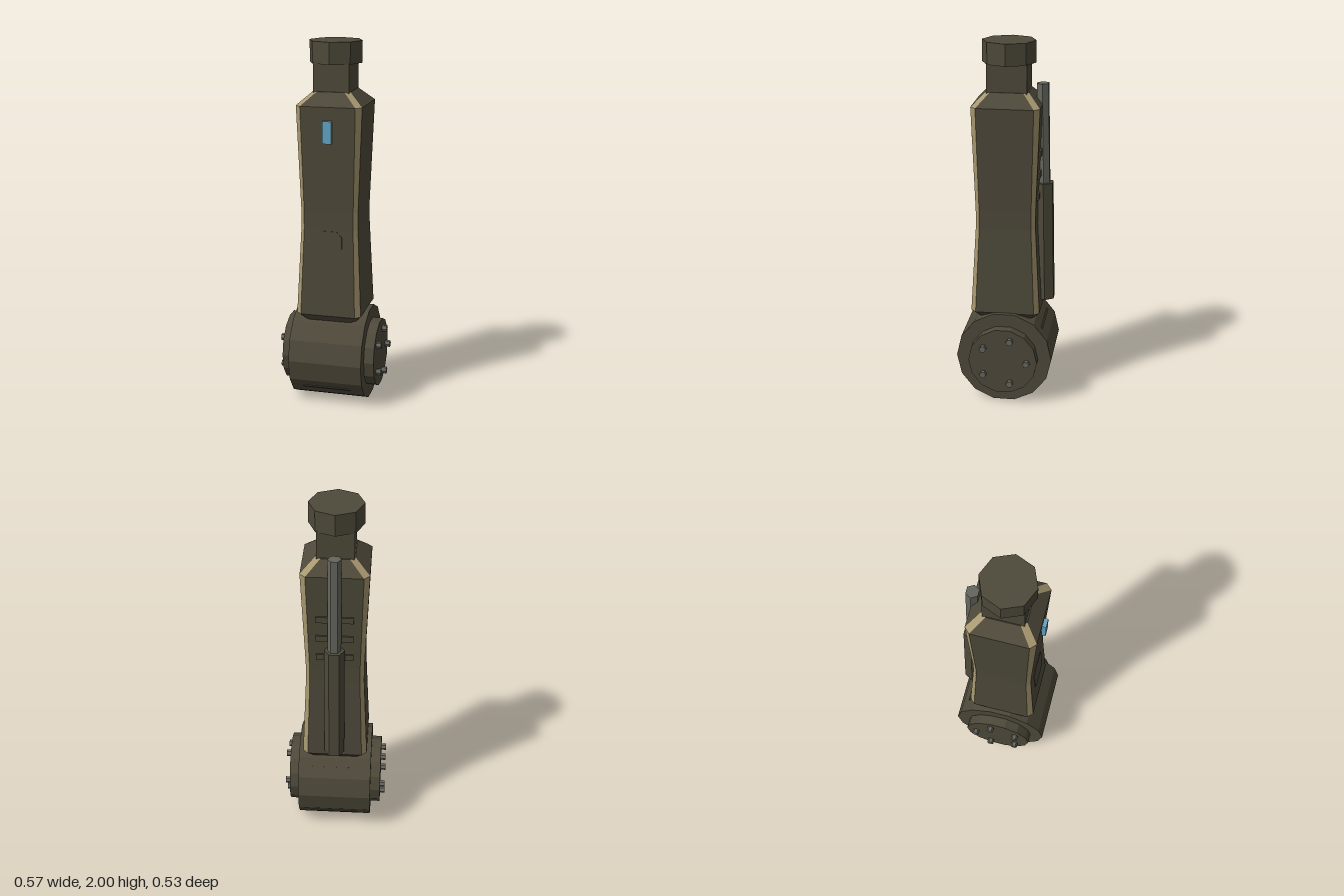
import * as THREE from 'three';

const mat = (name, color) => {
  const m = new THREE.MeshStandardMaterial({ color, flatShading: true });
  m.name = name;
  return m;
};

export function createModel() {
  const root = new THREE.Group();
  root.name = 'mechanicalLimb';
  const olive = mat('dark olive', 0x4e493a);
  const tan = mat('tan trim', 0xa89870);
  const grey = mat('steel grey', 0x66665f);
  const blue = mat('light blue', 0x64a6c6);

  const add = (name, geo, material, x = 0, y = 0, z = 0) => {
    const m = new THREE.Mesh(geo, material);
    m.name = name;
    m.position.set(x, y, z);
    root.add(m);
    return m;
  };
  const box = (name, w, h, d, material, x, y, z) =>
    add(name, new THREE.BoxGeometry(w, h, d), material, x, y, z);
  const axle = (r, len, sides) => new THREE.CylinderGeometry(r, r, len, sides).rotateZ(Math.PI / 2);

  // Joint drum with end caps and bolts
  const cy = 0.26, R = 0.265;
  add('jointDrum', axle(R, 0.41, 14), olive, 0, cy, 0);
  for (const s of [-1, 1]) {
    add('drumCap', axle(0.191, 0.056, 14), olive, s * 0.232, cy, 0);
    for (let i = 0; i < 5; i++) {
      const a = (i * 2 * Math.PI) / 5;
      add('capBolt', axle(0.019, 0.04, 6), grey, s * 0.267, cy + Math.sin(a) * 0.133, -Math.cos(a) * 0.133);
    }
  }

  // Thin ribs lying on three drum facets
  const facet = (2 * Math.PI) / 14;
  for (const k of [-2, -5, 5]) {
    const a = k * facet, r = R * Math.cos(facet / 2) + 0.001;
    const rib = box('drumRib', 0.27, 0.008, 0.012, olive, 0, cy + Math.cos(a) * r, Math.sin(a) * r);
    rib.rotation.x = a;
  }

  // Waisted body: chamfered square sections [y, half width, half depth, chamfer]
  const sections = [
    [0.475, 0.145, 0.155, 0.026],
    [0.515, 0.18, 0.19, 0.028],
    [1.0, 0.158, 0.163, 0.022],
    [1.1, 0.158, 0.163, 0.022],
    [1.667, 0.18, 0.184, 0.03],
    [1.737, 0.102, 0.115, 0.026],
  ];
  const rings = sections.map(([y, w, d, c]) => [
    [w, -d + c], [w, d - c], [w - c, d], [-w + c, d],
    [-w, d - c], [-w, -d + c], [-w + c, -d], [w - c, -d],
  ].map(([x, z]) => [x, y, z]));
  const faces = { panel: [], trim: [] };
  for (let j = 0; j < rings.length - 1; j++) {
    for (let i = 0; i < 8; i++) {
      const n = (i + 1) % 8;
      const a = rings[j][i], b = rings[j][n], A = rings[j + 1][i], B = rings[j + 1][n];
      (i % 2 && j > 0 ? faces.trim : faces.panel).push(...a, ...A, ...b, ...A, ...B, ...b);
    }
  }
  const top = rings[rings.length - 1], bottom = rings[0];
  for (let i = 1; i < 7; i++) {
    faces.panel.push(...bottom[0], ...bottom[i], ...bottom[i + 1]);
    faces.panel.push(...top[0], ...top[i + 1], ...top[i]);
  }
  const soup = (p) => {
    const g = new THREE.BufferGeometry();
    g.setAttribute('position', new THREE.Float32BufferAttribute(p, 3));
    g.computeVertexNormals();
    return g;
  };
  add('bodyPanels', soup(faces.panel), olive);
  add('cornerTrim', soup(faces.trim), tan);

  // Neck and octagonal head
  box('neck', 0.196, 0.2, 0.216, olive, 0, 1.79, 0);
  add('head', new THREE.CylinderGeometry(0.145, 0.145, 0.117, 8), olive, 0, 1.9415, 0);

  // Front light
  box('frontLight', 0.048, 0.12, 0.022, blue, 0, 1.535, 0.191);

  // Shallow front hatch with clipped corners
  const w = 0.075, h = 0.12, c = 0.03;
  const outline = new THREE.Shape([
    [-w + c, -h], [w - c, -h], [w, -h + c], [w, h - c],
    [w - c, h], [-w + c, h], [-w, h - c], [-w, -h + c],
  ].map(([x, y]) => new THREE.Vector2(x, y)));
  const hatch = add('frontHatch', new THREE.ExtrudeGeometry(outline, { depth: 0.009, bevelEnabled: false }),
    olive, 0, 0.87, 0.165);
  hatch.rotation.x = -0.055;

  // Rear vent slats
  for (const y of [1.17, 1.29, 1.41]) {
    box('ventSlat', 0.2, 0.035, 0.02, olive, 0, y, -0.163 - (y - 1.1) * 0.037);
  }

  // Rear piston: hexagonal sleeve and rod on one slightly leaning line
  const hex = (name, r, y0, y1, material) => {
    const y = (y0 + y1) / 2;
    const m = add(name, new THREE.CylinderGeometry(r, r, y1 - y0, 6).rotateY(Math.PI / 2),
      material, 0, y, -0.207 + (y - 0.555) * 0.0213);
    m.rotation.x = 0.0213;
  };
  hex('pistonSleeve', 0.055, 0.555, 1.23, olive);
  hex('pistonRod', 0.036, 1.15, 1.775, grey);

  return root;
}
